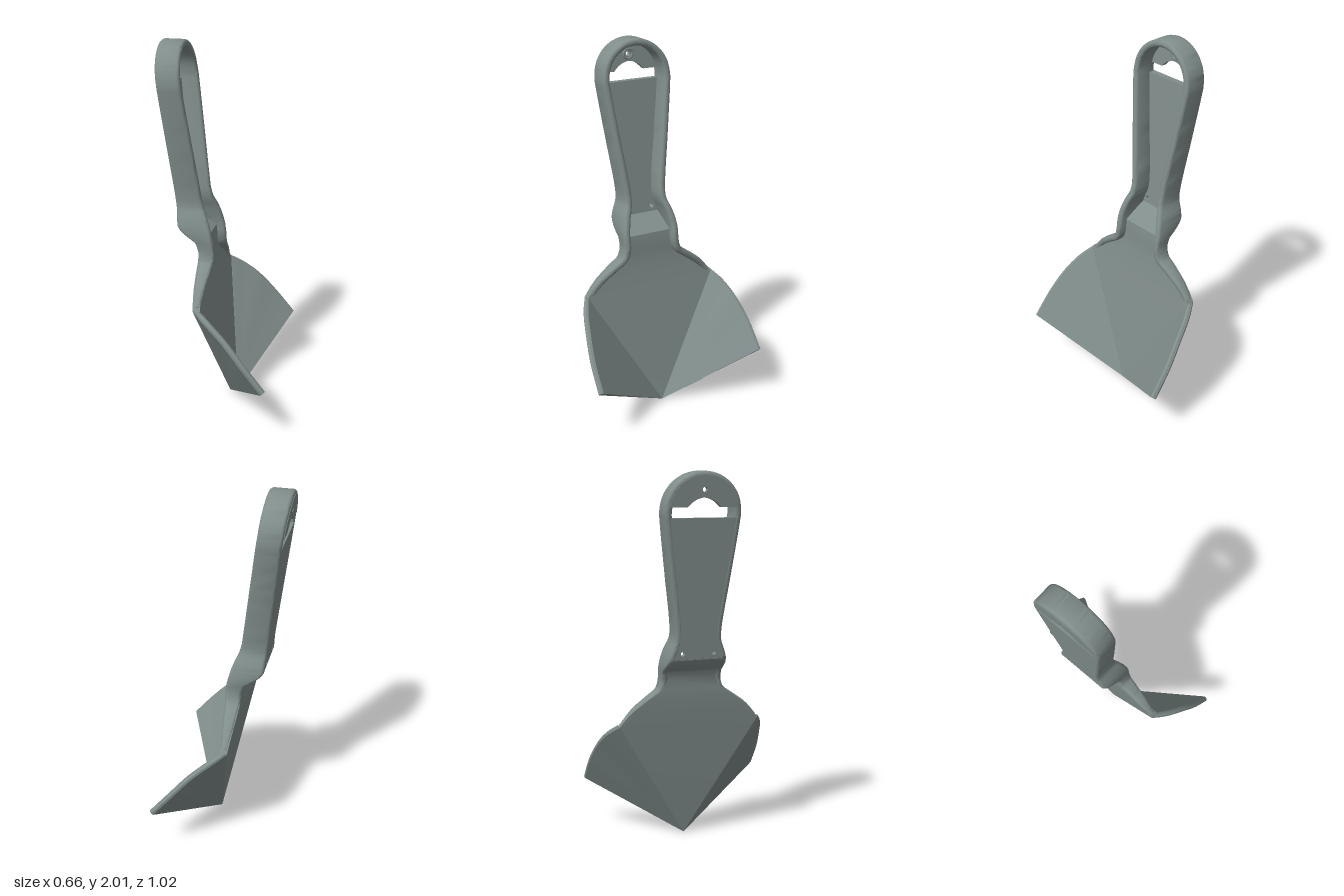
import * as THREE from 'three';
import { toCreasedNormals } from 'three/addons/utils/BufferGeometryUtils.js';

const V = (x, y, z) => new THREE.Vector3(x, y, z);

// Piecewise-linear lookup in rows sorted by falling y
function lookup(rows, y, col) {
  if (y >= rows[0][0]) return rows[0][col];
  for (let i = 1; i < rows.length; i++) {
    const a = rows[i - 1], b = rows[i];
    if (y >= b[0]) return b[col] + (a[col] - b[col]) * (y - b[0]) / (a[0] - b[0]);
  }
  return rows[rows.length - 1][col];
}

// Skin a list of equal-length rings into a closed solid, facing outward
function loft(rings, crease = 0.6) {
  const n = rings[0].length, tris = [];
  for (let i = 0; i < rings.length - 1; i++)
    for (let j = 0; j < n; j++) {
      const k = (j + 1) % n, a = rings[i], b = rings[i + 1];
      tris.push([a[j], a[k], b[k]], [a[j], b[k], b[j]]);
    }
  const first = rings[0], last = rings[rings.length - 1];
  for (let j = 1; j < n - 1; j++)
    tris.push([first[0], first[j + 1], first[j]], [last[0], last[j], last[j + 1]]);
  let volume = 0;
  for (const [a, b, c] of tris) volume += a.dot(V(0, 0, 0).crossVectors(b, c));
  const solid = tris.filter(([a, b, c]) => b.clone().sub(a).cross(c.clone().sub(a)).length() > 1e-9);
  const pts = solid.flatMap(([a, b, c]) => (volume < 0 ? [a, c, b] : [a, b, c]));
  return toCreasedNormals(new THREE.BufferGeometry().setFromPoints(pts), crease);
}

// Back plane of the leaning handle
const handleBack = (y) => -0.225 - 0.1133 * (y - 1.05);

// Extrude a (z, y) shape forward from the handle's back plane
function handlePlate(shape, depth, offset) {
  const g = new THREE.ExtrudeGeometry(shape, { depth, bevelEnabled: false, curveSegments: 20 });
  g.rotateY(Math.PI / 2);
  const p = g.attributes.position;
  for (let i = 0; i < p.count; i++) p.setX(i, p.getX(i) + handleBack(p.getY(i)) + offset);
  return toCreasedNormals(g, 0.5);
}

function hole(x, y, r) {
  return new THREE.Path().absarc(x, y, r, 0, Math.PI * 2, true);
}

// Neck and middle of the blade: y, half width, back x, front x
const PANEL = [
  [1.055, 0.135, -0.225, -0.19], [1.02, 0.143, -0.2, -0.14], [0.975, 0.148, -0.128, -0.074],
  [0.93, 0.15, -0.108, -0.069], [0.87, 0.165, -0.108, -0.069], [0.825, 0.235, -0.104, -0.066],
  [0.765, 0.315, -0.097, -0.058], [0.725, 0.355, -0.091, -0.052], [0.68, 0.39, -0.085, -0.045],
  [0.01, 0, 0.035, 0.08],
];

// Rim depth: y, back x, front x
const RIM = [
  [2, -0.333, -0.203], [1.85, -0.316, -0.188], [1.2, -0.242, -0.1], [1.15, -0.236, -0.088],
  [1.1, -0.231, -0.066], [1.05, -0.225, -0.048], [1.02, -0.2, -0.04], [0.97, -0.126, -0.028],
  [0.92, -0.11, -0.022], [0.87, -0.108, -0.023], [0.8, -0.1, -0.034], [0.72, -0.091, -0.045],
  [0.68, -0.085, -0.046],
];

// Raised rim running up one shoulder, around the handle and down the other
function rimGeometry() {
  const side = [[0.365, 0.69], [0.305, 0.758], [0.225, 0.818], [0.168, 0.862], [0.15, 0.915],
    [0.148, 1.0], [0.132, 1.08], [0.108, 1.15], [0.106, 1.21], [0.144, 1.5], [0.178, 1.76]];
  const arc = [];
  for (let i = 0; i <= 8; i++) {
    const a = Math.PI * i / 8;
    arc.push([0.1825 * Math.cos(a), 1.8175 + 0.1825 * Math.sin(a)]);
  }
  const mirrored = side.slice().reverse().map(([z, y]) => [-z, y]);
  const path = new THREE.CatmullRomCurve3([...side, ...arc, ...mirrored].map(([z, y]) => V(0, y, z)));
  const steps = 180, h = 0.0185, rings = [];
  for (let i = 0; i <= steps; i++) {
    const p = path.getPoint(i / steps), t = path.getTangent(i / steps);
    const out = V(0, -t.z, t.y);
    const back = lookup(RIM, p.y, 1), front = lookup(RIM, p.y, 2);
    const r = 0.016, ring = [];
    // rounded rectangle: four corners of four points each
    [[1, 1], [-1, 1], [-1, -1], [1, -1]].forEach(([su, sx], c) => {
      for (let k = 0; k < 4; k++) {
        const a = (c + k / 3) * Math.PI / 2;
        const u = su * (h - r) + r * Math.cos(a);
        const x = (sx > 0 ? front - r : back + r) + r * Math.sin(a);
        ring.push(V(x, p.y + out.y * u, p.z + out.z * u));
      }
    });
    rings.push(ring);
  }
  return loft(rings, 0.8);
}

// Folded side wing, fanned from the tip to its curved outer edge
function wingGeometry(s) {
  const tipFront = V(0.08, 0.01, 0), tipBack = V(0.035, 0.01, 0);
  const edge = new THREE.CatmullRomCurve3([
    V(-0.065, 0.68, 0.39), V(0.01, 0.628, 0.432), V(0.1, 0.552, 0.464),
    V(0.2, 0.438, 0.489), V(0.31, 0.302, 0.497)]);
  const n = V(0.64, 0.47, -0.58).normalize().multiplyScalar(0.016);
  const rings = [];
  for (let i = 0; i <= 20; i++) {
    const q = edge.getPoint(i / 20);
    const away = q.clone().sub(V(0.06, 0.01, 0)).normalize().multiplyScalar(0.01);
    const blend = Math.min(1, i / 3);
    const front = V(-0.045, 0.68, 0.39).lerp(q.clone().add(n), blend);
    const back = V(-0.085, 0.68, 0.39).lerp(q.clone().sub(n), blend);
    const lipFront = front.clone().lerp(back, 0.25).add(away);
    const lipBack = front.clone().lerp(back, 0.75).add(away);
    rings.push([tipFront, front, lipFront, lipBack, back, tipBack].map((p) => V(p.x, p.y, p.z * s)));
  }
  return loft(rings, 0.5);
}

export function createModel() {
  const group = new THREE.Group();
  const grey = new THREE.MeshStandardMaterial({ color: 0x808d8b });
  grey.name = 'grey green';
  const add = (name, geometry) => {
    const mesh = new THREE.Mesh(geometry, grey);
    mesh.name = name;
    group.add(mesh);
    return mesh;
  };

  // Blade middle and neck
  add('bladePanel', loft(PANEL.map(([y, w, b, f]) =>
    [V(b, y, -w), V(b, y, w), V(f, y, w), V(f, y, -w)]), 0.5));
  add('leftWing', wingGeometry(-1));
  add('rightWing', wingGeometry(1));
  add('rim', rimGeometry());

  // Handle back web with two drain holes
  const half = [[0.135, 1.05], [0.13, 1.08], [0.106, 1.15], [0.104, 1.21], [0.144, 1.5], [0.18, 1.787]];
  const web = new THREE.Shape([...half, ...half.slice().reverse().map(([x, y]) => [-x, y])]
    .map(([x, y]) => new THREE.Vector2(x, y)));
  web.holes.push(hole(0.085, 1.085, 0.012), hole(-0.085, 1.085, 0.012));
  add('handleWeb', handlePlate(web, 0.035, 0.001));

  // Plate closing the top of the handle, with a thumb notch and hanging hole
  const top = new THREE.Shape();
  top.moveTo(0.18, 1.84);
  top.absarc(0, 1.8175, 0.18, 0.125, Math.PI - 0.125, false);
  top.lineTo(-0.088, 1.84);
  top.quadraticCurveTo(-0.05, 1.885, 0, 1.888);
  top.quadraticCurveTo(0.05, 1.885, 0.088, 1.84);
  top.holes.push(hole(0, 1.927, 0.013));
  add('hangingPlate', handlePlate(top, 0.03, -0.003));

  // Raised collar around the hanging hole
  const collar = add('hangingCollar', new THREE.TorusGeometry(0.026, 0.007, 8, 28));
  collar.rotation.y = Math.PI / 2;
  collar.position.set(handleBack(1.927) + 0.028, 1.927, 0);

  return group;
}
